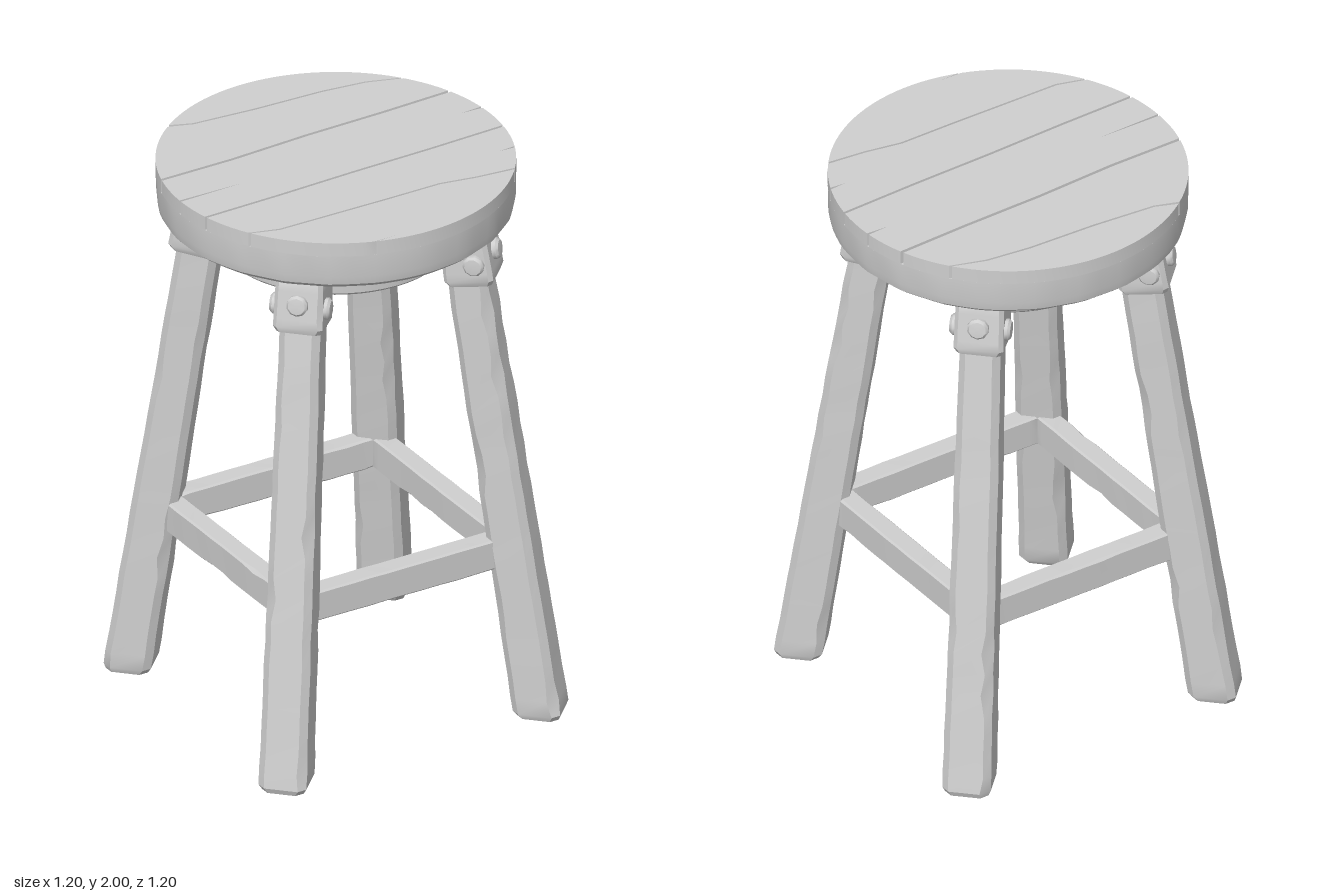
import * as THREE from 'three';
import { toCreasedNormals } from 'three/addons/utils/BufferGeometryUtils.js';

const grey = new THREE.MeshStandardMaterial({ color: 0xcfcfcf });
grey.name = 'plain grey';

let seed = 7;
const rand = () => (seed = (seed * 16807) % 2147483647) / 2147483647;

function mesh(name, geometry, crease = 0.5) {
  const m = new THREE.Mesh(toCreasedNormals(geometry, crease), grey);
  m.name = name;
  return m;
}

// Hewn beam along y: square section with worn corners and a few chips.
// lean shifts the section along z from bottom to top.
function beam(length, w0, w1, depthRatio, { lean = 0, chamfer = 0.015, wear = 0.01, steps = 20 } = {}) {
  const pos = [], index = [];
  const ts = [0, 0.02 / length];
  for (let i = 1; i < steps; i++) ts.push(i / steps);
  ts.push(1 - 0.02 / length, 1);
  ts.forEach((t, k) => {
    const end = k === 0 || k === ts.length - 1;
    const w = THREE.MathUtils.lerp(w0, w1, t), d = w * depthRatio;
    const inset = end ? 0.01 : 0;
    const hx = w / 2 - inset - rand() * wear * 0.2;
    const hz = d / 2 - inset - rand() * wear * 0.2;
    [[1, 1], [1, -1], [-1, -1], [-1, 1]].forEach(([sx, sz], corner) => {
      const c = chamfer + (rand() < 0.15 ? wear * rand() : 0);
      const pair = [[sx * (hx - c), sz * hz], [sx * hx, sz * (hz - c)]];
      if (corner % 2) pair.reverse();
      pair.forEach(([x, z]) => pos.push(x, t * length, z + lean * t));
    });
  });
  const n = ts.length;
  for (let k = 0; k < n - 1; k++) for (let i = 0; i < 8; i++) {
    const a = k * 8 + i, b = k * 8 + (i + 1) % 8;
    index.push(a, b, b + 8, a, b + 8, a + 8);
  }
  const top = (n - 1) * 8;
  for (let i = 1; i < 7; i++) {
    index.push(0, i + 1, i);
    index.push(top, top + i, top + i + 1);
  }
  const g = new THREE.BufferGeometry();
  g.setAttribute('position', new THREE.Float32BufferAttribute(pos, 3));
  g.setIndex(index);
  return g;
}

const lathe = (points, segments) =>
  new THREE.LatheGeometry(points.map(([x, y]) => new THREE.Vector2(x, y)), segments);

const R = 0.6, PLANK_BOTTOM = 1.95;
// Seams between the planks: gap, then (x, z) points running left to right
const seams = [
  { gap: 0.008, path: [[-0.36, -0.48], [-0.28, -0.45], [-0.05, -0.43], [0.2, -0.42], [0.36, -0.4], [0.48, -0.36]] },
  { gap: 0.012, path: [[-0.57, -0.17], [-0.3, -0.17], [0, -0.185], [0.3, -0.19], [0.56, -0.2]] },
  { gap: 0.01, path: [[-0.58, 0.13], [-0.3, 0.125], [0, 0.115], [0.3, 0.11], [0.59, 0.1]] },
  { gap: 0.008, path: [[-0.52, 0.3], [-0.42, 0.33], [0, 0.335], [0.2, 0.335], [0.33, 0.36], [0.46, 0.375]] },
];
// Splits running in from the rim: angle and depth
const splits = [[3.16, 0.24], [2.6, 0.06], [-0.08, 0.08], [0.42, 0.06], [1.9, 0.08]];

// One side of a seam, with both ends brought onto the rim
function seamSide({ gap, path }, side) {
  return path.map(([x, z], i) => {
    const zz = z + side * gap / 2;
    const end = i === 0 || i === path.length - 1;
    return [end ? Math.sign(x) * Math.sqrt(R * R - zz * zz) : x, zz];
  });
}

// Rim points from angle a to b, with a thin notch at each split
function rim(a, b) {
  const lo = Math.min(a, b), hi = Math.max(a, b);
  const steps = Math.max(4, Math.ceil((hi - lo) / 0.06));
  let marks = [];
  for (let i = 0; i <= steps; i++) marks.push([a + (b - a) * i / steps, 0]);
  for (const [s, depth] of splits) for (const t of [s, s + 2 * Math.PI]) {
    if (t < lo + 0.05 || t > hi - 0.05) continue;
    marks = marks.filter(([m]) => Math.abs(m - t) > 0.012);
    marks.push([t - 0.008, 0], [t, depth], [t + 0.008, 0]);
  }
  marks.sort((p, q) => (p[0] - q[0]) * Math.sign(b - a));
  return marks.map(([t, depth]) =>
    [Math.cos(t) * R - Math.sign(Math.cos(t)) * depth, Math.sin(t) * R]);
}

const angle = ([x, z]) => Math.atan2(z, x);
const positive = (t) => (t < 0 ? t + 2 * Math.PI : t);

function plank(i) {
  const back = i > 0 && seamSide(seams[i - 1], 1);
  const front = i < 4 && seamSide(seams[i], -1);
  const left = (s) => positive(angle(s[0]));
  const right = (s) => angle(s[s.length - 1]);
  let points;
  if (!back) points = [...front].reverse().concat(rim(left(front), positive(right(front))));
  else if (!front) points = back.concat(rim(right(back), left(back)));
  else points = [...back, ...rim(right(back), right(front)),
    ...[...front].reverse(), ...rim(left(front), left(back))];
  // the shape's y is -z, so that the extrusion stands up along y
  const shape = new THREE.Shape(points.map(([x, z]) => new THREE.Vector2(x, -z)));
  const g = new THREE.ExtrudeGeometry(shape, { depth: 2 - PLANK_BOTTOM, bevelEnabled: false });
  g.rotateX(-Math.PI / 2).translate(0, PLANK_BOTTOM, 0);
  return mesh('seatPlank', g);
}

// Seat body with a slightly uneven, hewn rim
function seatBase() {
  const g = lathe([[0, 1.81], [0.53, 1.81], [0.57, 1.82], [0.594, 1.84], [0.6, 1.87], [0.6, PLANK_BOTTOM],
    [0, PLANK_BOTTOM]], 96);
  const p = g.attributes.position;
  for (let i = 0; i < p.count; i++) {
    if (p.getY(i) > 1.9) continue;
    const a = Math.atan2(p.getZ(i), p.getX(i));
    const s = 1 - 0.004 * Math.abs(Math.sin(9 * a) + Math.sin(14 * a + 1));
    p.setX(i, p.getX(i) * s);
    p.setZ(i, p.getZ(i) * s);
  }
  return mesh('seatBase', g);
}

export function createModel() {
  const stool = new THREE.Group();
  stool.name = 'stool';

  const seat = new THREE.Group();
  seat.name = 'seat';
  for (let i = 0; i < 5; i++) seat.add(plank(i));
  seat.add(seatBase());
  stool.add(seat);

  // Ring under the seat
  stool.add(mesh('apronRing', lathe(
    [[0.25, 1.82], [0.25, 1.71], [0.27, 1.69], [0.385, 1.69], [0.395, 1.7], [0.4, 1.82]], 56)));

  // Legs with bolted brackets, set on the diagonals
  const boltShape = lathe([[0.037, -0.01], [0.037, 0.012], [0.029, 0.021], [0, 0.024]], 10);
  const foot = 0.703, slope = 0.149;
  for (let i = 0; i < 4; i++) {
    const corner = new THREE.Group();
    corner.name = 'legAssembly';
    corner.rotation.y = Math.PI / 4 + i * Math.PI / 2;
    const leg = mesh('leg', beam(1.81, 0.167, 0.14, 1,
      { lean: -slope * 1.81, chamfer: 0.024, wear: 0.014, steps: 24 }));
    leg.position.z = foot;
    corner.add(leg);

    const bracket = new THREE.Group();
    bracket.name = 'bracket';
    bracket.position.set(0, 1.71, foot - slope * 1.71 + 0.012);
    bracket.rotation.x = -Math.atan(slope);
    const sleeve = mesh('bracketSleeve', beam(0.2, 0.172, 0.162, 1, { chamfer: 0.014, wear: 0.006, steps: 4 }));
    sleeve.position.y = -0.1;
    bracket.add(sleeve);
    for (const side of [-1, 0, 1]) {
      const bolt = mesh('bolt', boltShape, 0.7);
      if (side) {
        bolt.rotation.z = -side * Math.PI / 2;
        bolt.position.set(side * 0.082, -0.015, 0.03);
      } else {
        bolt.rotation.x = Math.PI / 2;
        bolt.position.set(0, 0.005, 0.083);
      }
      bracket.add(bolt);
    }
    corner.add(bracket);
    stool.add(corner);

    // Stretcher between neighbouring legs
    const side = new THREE.Group();
    side.name = 'stretcherSide';
    side.rotation.y = i * Math.PI / 2;
    const g = beam(0.82, 0.113, 0.113, 0.66, { chamfer: 0.006, wear: 0.008, steps: 12 });
    g.translate(0, -0.41, 0).rotateZ(Math.PI / 2);
    const stretcher = mesh('stretcher', g);
    stretcher.position.set(0, 0.605, 0.41);
    side.add(stretcher);
    stool.add(side);
  }
  return stool;
}
